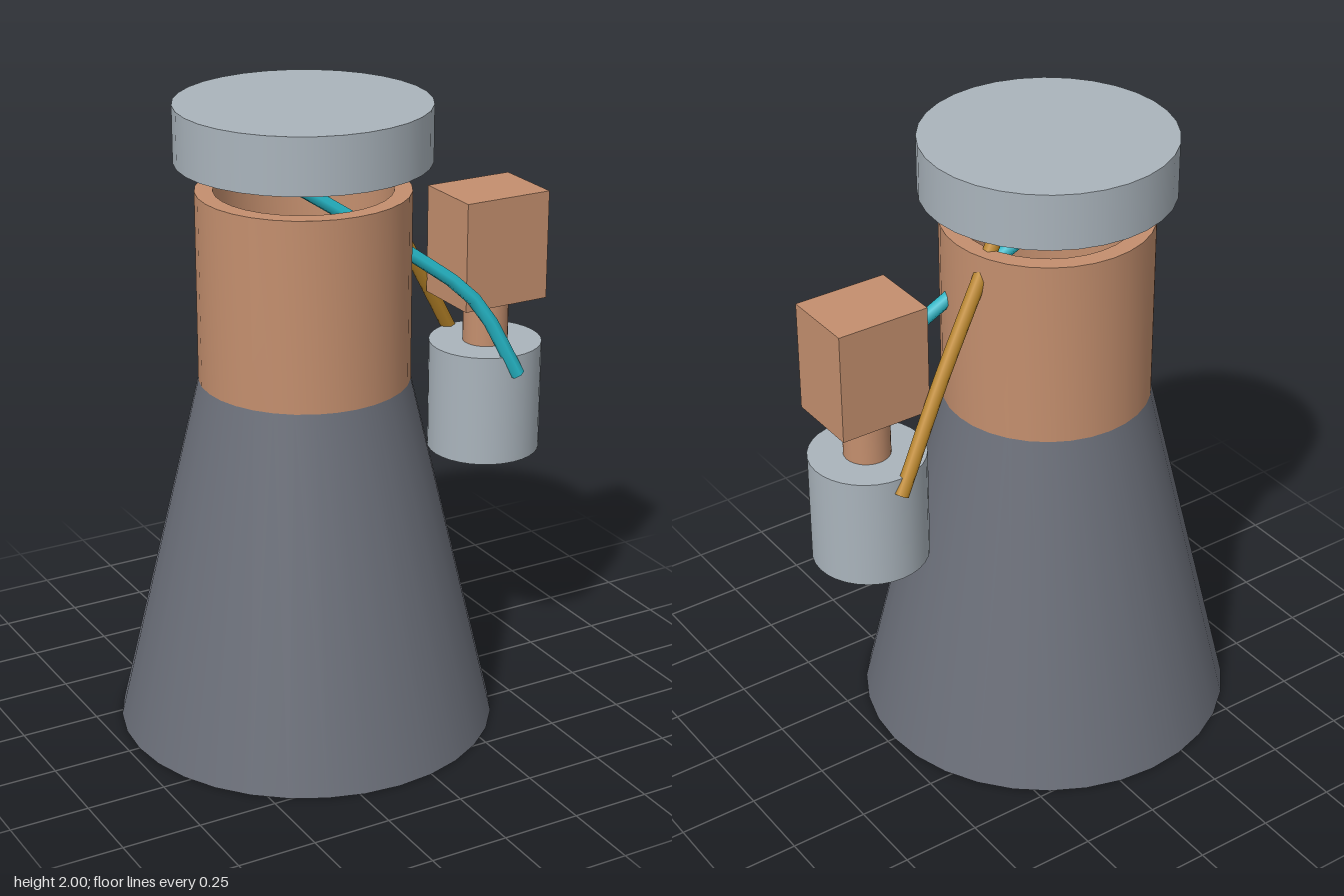
import * as THREE from 'three';
import { toCreasedNormals } from 'three/addons/utils/BufferGeometryUtils.js';

const SEGMENTS = 32;
const AXIS_X = -0.12; // centre line of nozzle, chamber and top plate
const PUMP_X = 0.535; // centre line of the side pump

function material(name, color, side = THREE.FrontSide) {
  const m = new THREE.MeshStandardMaterial({ color, side });
  m.name = name;
  return m;
}

export function createModel() {
  const group = new THREE.Group();
  group.name = 'rocketEngine';

  const darkGrey = material('darkGrey', 0x6b6f79);
  const copper = material('copper', 0xc48f6e);
  const silver = material('silver', 0xaab4bc);
  const cyan = material('cyan', 0x26b8c8, THREE.DoubleSide);
  const amber = material('amber', 0xc08a2a, THREE.DoubleSide);

  function add(name, geometry, mat, x = 0, y = 0, z = 0) {
    const mesh = new THREE.Mesh(geometry, mat);
    mesh.name = name;
    mesh.position.set(x, y, z);
    group.add(mesh);
  }

  // Hollow round wall: outer side up, rim, inner side down, lower rim
  function hollowWall(y0, r0, y1, r1, wall) {
    const profile = [
      [r0, y0], [r1, y1], [r1 - wall, y1], [r0 - wall, y0], [r0, y0],
    ].map(([r, y]) => new THREE.Vector2(r, y));
    return toCreasedNormals(new THREE.LatheGeometry(profile, SEGMENTS), 0.5);
  }

  function cylinder(name, r, y0, y1, mat, x) {
    add(name, new THREE.CylinderGeometry(r, r, y1 - y0, SEGMENTS), mat, x, (y0 + y1) / 2);
  }

  function pipe(name, points, mat) {
    const curve = new THREE.CatmullRomCurve3(points.map((p) => new THREE.Vector3(...p)));
    add(name, new THREE.TubeGeometry(curve, 12, 0.023, 6), mat);
  }

  // Main body
  add('nozzle', hollowWall(0, 0.595, 1.14, 0.326, 0.055), darkGrey, AXIS_X);
  add('chamber', hollowWall(1.14, 0.326, 1.735, 0.326, 0.055), copper, AXIS_X);
  cylinder('topPlate', 0.387, 1.825, 2, silver, AXIS_X);

  // Side pump
  cylinder('pumpBody', 0.18, 0.78, 1.14, silver, PUMP_X);
  cylinder('pumpShaft', 0.072, 1.14, 1.29, copper, PUMP_X);
  add('pumpBox', new THREE.BoxGeometry(0.297, 0.35, 0.236), copper, PUMP_X, 1.465);

  // Feed pipes from the pump through the chamber wall to the top plate
  pipe('frontPipe', [
    [0.54, 1.08, 0.185], [0.41, 1.33, 0.135], [0.2, 1.505, 0.08], [-0.3, 1.85, -0.05],
  ], cyan);
  pipe('rearPipe', [
    [0.535, 1.085, -0.185], [0.36, 1.375, -0.13], [0.2, 1.63, -0.09], [0.05, 1.87, -0.055],
  ], amber);

  return group;
}
